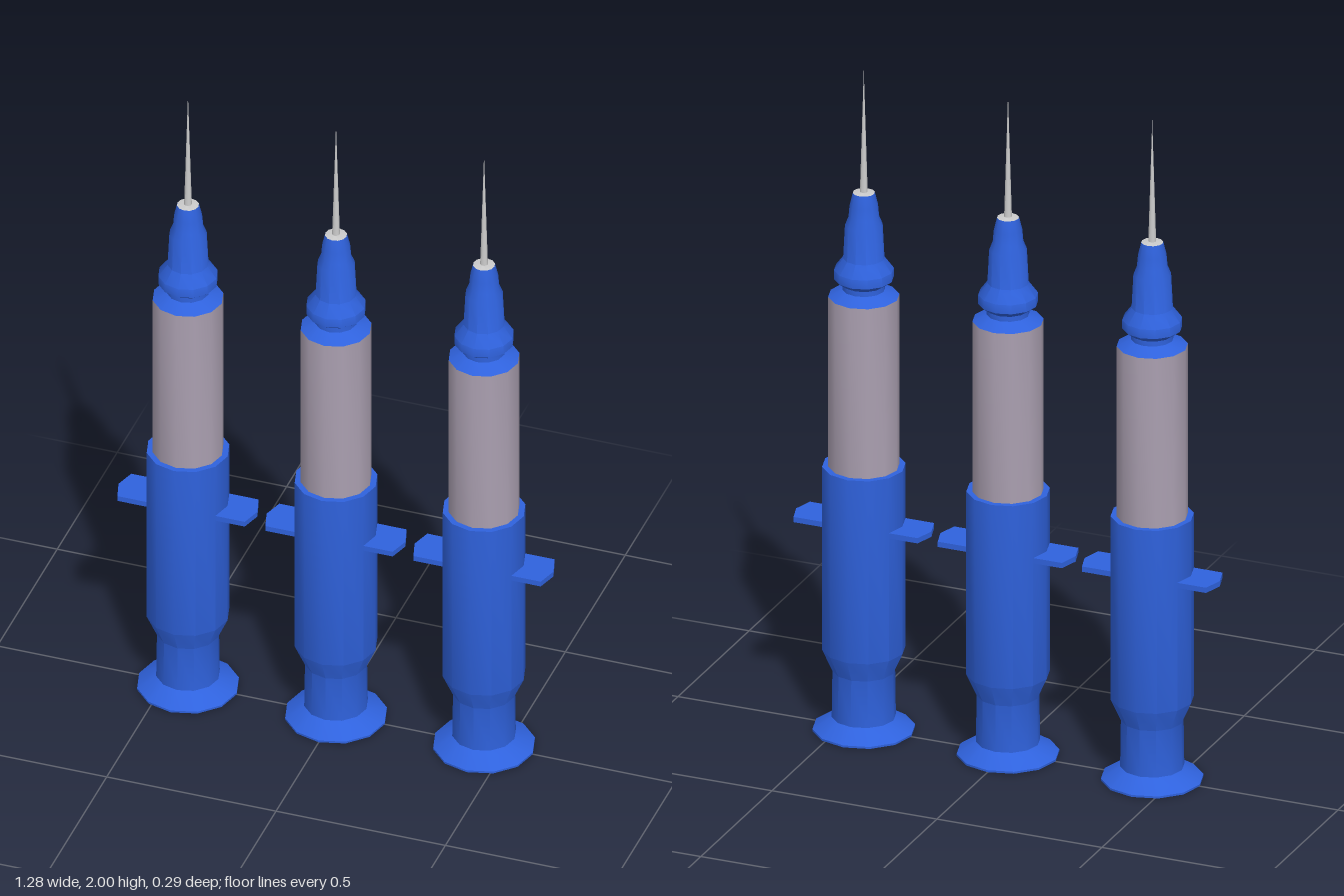
import * as THREE from 'three';
import { toCreasedNormals } from 'three/addons/utils/BufferGeometryUtils.js';

const SIDES = 12;
const blue = new THREE.MeshStandardMaterial({ color: 0x2f62dd });
const clear = new THREE.MeshStandardMaterial({ color: 0xaa9fb0 });
const steel = new THREE.MeshStandardMaterial({ color: 0xcccccc });

// Turned part from [radius, height] pairs, listed bottom to top
function turned(name, profile, material) {
  const points = profile.map(([r, y]) => new THREE.Vector2(r, y));
  const geometry = toCreasedNormals(new THREE.LatheGeometry(points, SIDES), 0.65);
  const mesh = new THREE.Mesh(geometry, material);
  mesh.name = name;
  return mesh;
}

// Thin finger rest with slightly pointed ends, running through the holder
function fingerRest() {
  const shape = new THREE.Shape([
    [0.188, -0.058], [0.205, 0], [0.188, 0.058],
    [-0.188, 0.058], [-0.205, 0], [-0.188, -0.058],
  ].map(([x, y]) => new THREE.Vector2(x, y)));
  const geometry = new THREE.ExtrudeGeometry(shape, { depth: 0.016, bevelEnabled: false });
  geometry.rotateX(-Math.PI / 2);
  const mesh = new THREE.Mesh(geometry, blue);
  mesh.name = 'fingerRest';
  mesh.position.y = 0.617;
  return mesh;
}

function syringe() {
  const group = new THREE.Group();
  group.add(
    // Thumb flange, plunger neck and holder sleeve
    turned('holder', [
      [0, 0], [0.144, 0], [0.144, 0.006], [0.09, 0.04], [0.088, 0.18],
      [0.117, 0.245], [0.117, 0.8], [0.098, 0.8],
    ], blue),
    turned('barrel', [[0.1, 0.79], [0.1, 1.315]], clear),
    // Shoulder, collar and stepped needle hub
    turned('needleHub', [
      [0.1, 1.315], [0.06, 1.335], [0.06, 1.35], [0.084, 1.368], [0.084, 1.395],
      [0.058, 1.43], [0.053, 1.53], [0.043, 1.555], [0.04, 1.59], [0.031, 1.627],
    ], blue),
    turned('needle', [[0.031, 1.627], [0.011, 1.63], [0, 2]], steel),
    fingerRest(),
  );
  return group;
}

export function createModel() {
  const model = new THREE.Group();
  model.name = 'syringes';
  ['rightSyringe', 'middleSyringe', 'leftSyringe'].forEach((name, i) => {
    const item = syringe();
    item.name = name;
    item.position.x = (i - 1) * 0.437;
    model.add(item);
  });
  return model;
}
